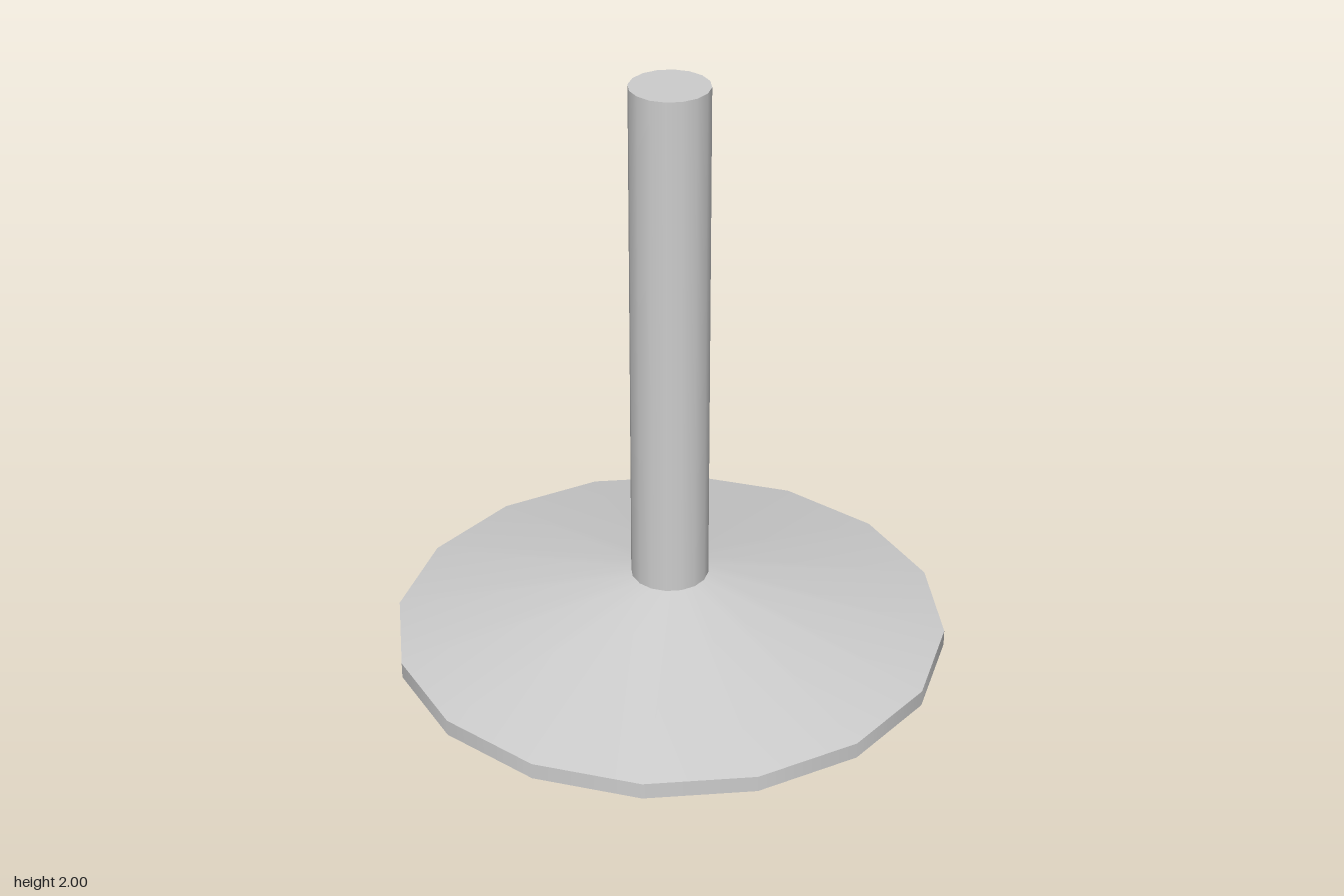
import * as THREE from 'three';

const SIDES = 16;

export function createModel() {
  const model = new THREE.Group();
  const grey = new THREE.MeshStandardMaterial({ color: 0xcccccc });
  grey.name = 'lightGrey';

  // Stacked round parts with smooth sides; caps only where they are exposed
  const add = (name, geometry, y) => {
    const mesh = new THREE.Mesh(geometry, grey);
    mesh.name = name;
    mesh.position.y = y;
    model.add(mesh);
  };
  const ring = (rTop, rBottom, y0, y1) => {
    const g = new THREE.CylinderGeometry(rTop, rBottom, y1 - y0, SIDES, 1, true);
    return [g, (y0 + y1) / 2];
  };
  const disc = (r, faceUp) =>
    new THREE.CircleGeometry(r, SIDES).rotateX(faceUp ? -Math.PI / 2 : Math.PI / 2);

  add('baseUnderside', disc(0.928, false), 0);
  add('baseRim', ...ring(0.928, 0.928, 0, 0.055));
  add('baseCone', ...ring(0.13, 0.928, 0.055, 0.245));
  add('column', ...ring(0.13, 0.13, 0.245, 2));
  add('columnTop', disc(0.13, true), 2);

  return model;
}
